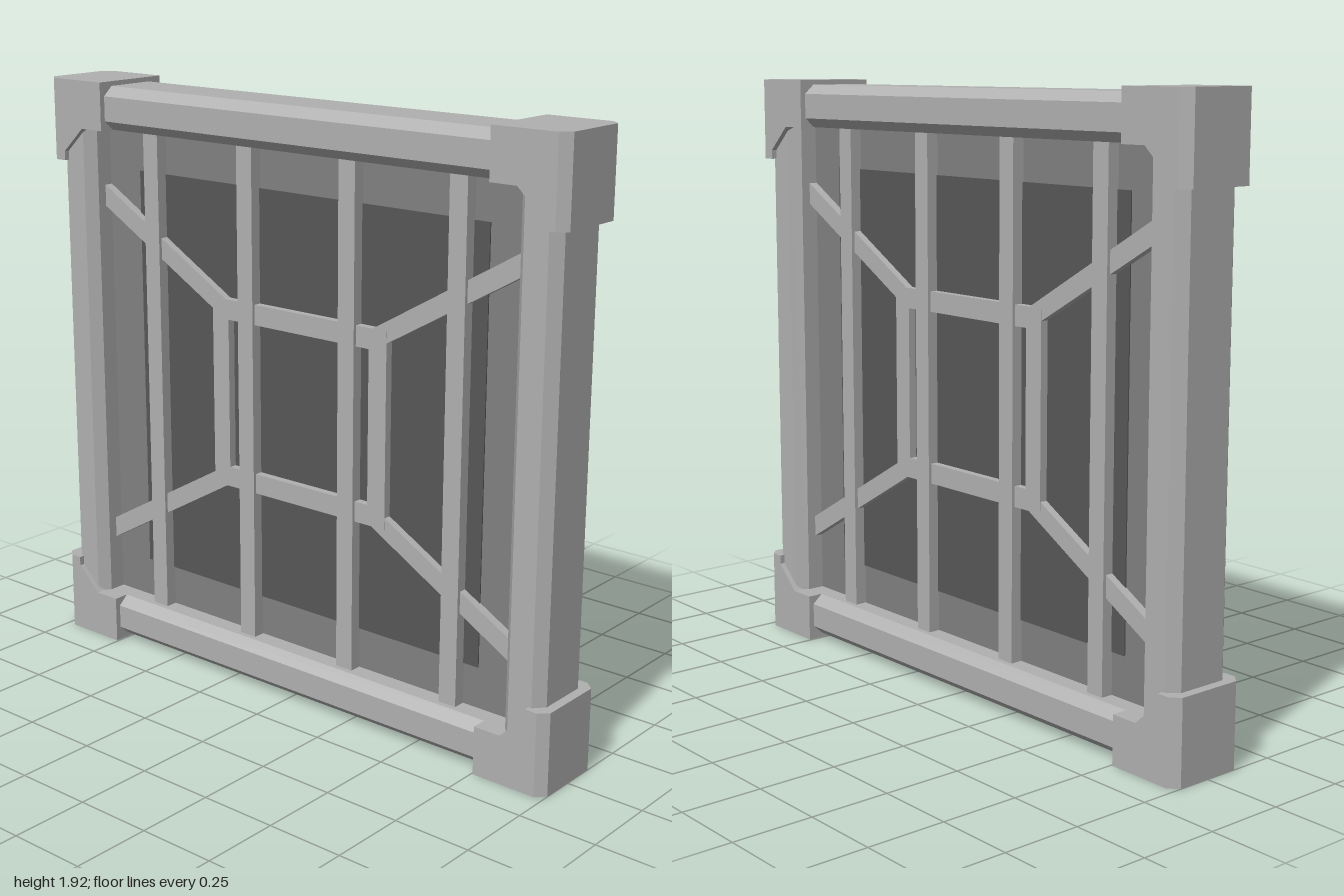
import * as THREE from 'three';

const MID = 0.96; // mid height

export function createModel() {
  const model = new THREE.Group();
  model.name = 'barredWindow';
  const frameMat = new THREE.MeshStandardMaterial({ name: 'frame grey', color: 0xb0b0b0 });
  const panelMat = new THREE.MeshStandardMaterial({ name: 'panel grey', color: 0x808080 });
  const darkMat = new THREE.MeshStandardMaterial({ name: 'dark grey', color: 0x575757 });

  const add = (name, geo, mat, parent = model) => {
    const mesh = new THREE.Mesh(geo, mat);
    mesh.name = name;
    parent.add(mesh);
    return mesh;
  };
  const shapeOf = pts => new THREE.Shape(pts.map(p => new THREE.Vector2(p[0], p[1])));
  const extrude = (shape, depth) => new THREE.ExtrudeGeometry(shape, { depth, bevelEnabled: false });
  const rect = (x, y) => [[-x, -y], [x, -y], [x, y], [-x, y]];

  // Bevelled bar section: 0.14 wide, 0.23 deep
  const barGeo = length => extrude(shapeOf([
    [-0.07, -0.083], [-0.04, -0.117], [0.04, -0.117], [0.07, -0.083],
    [0.07, 0.083], [0.04, 0.117], [-0.04, 0.117], [-0.07, 0.083],
  ]), length).translate(0, 0, -length / 2);

  // Side posts and horizontal rails
  for (const s of [-1, 1]) {
    add('sidePost', barGeo(1.7).rotateX(Math.PI / 2), frameMat).position.set(s * 0.9, MID, 0);
    add('rail', barGeo(1.7).rotateX(Math.PI / 2).rotateZ(Math.PI / 2), frameMat)
      .position.set(0, MID + s * 0.875, 0);
  }

  // Corner blocks: chamfered outer strip plus notched inner gusset
  for (const sx of [-1, 1]) for (const sy of [-1, 1]) {
    const corner = new THREE.Group();
    corner.name = 'cornerBlock';
    const strip = shapeOf([[0.93, -0.135], [0.97, -0.135], [1, -0.108], [1, 0.108], [0.97, 0.135], [0.93, 0.135]]
      .map(([x, z]) => [sx * x, z]));
    const stripMesh = add('cornerOuter', extrude(strip, 0.265).rotateX(-Math.PI / 2), frameMat, corner);
    stripMesh.position.y = sy < 0 ? 0 : 1.92 - 0.265;
    const gusset = shapeOf([[0.755, 0.96], [0.93, 0.96], [0.93, 0.725], [0.845, 0.805], [0.755, 0.805]]
      .map(([x, y]) => [sx * x, MID + sy * y]));
    add('cornerGusset', extrude(gusset, 0.27).translate(0, 0, -0.135), frameMat, corner);
    model.add(corner);
  }

  // Centre panel
  add('panel', new THREE.BoxGeometry(1.72, 1.66, 0.05), panelMat).position.y = MID;

  // Each face carries a dark inset, a lattice and four upright bars
  for (const turn of [0, Math.PI]) {
    const face = new THREE.Group();
    face.name = turn ? 'backFace' : 'frontFace';
    face.rotation.y = turn;
    face.position.y = MID;
    model.add(face);

    add('darkInset', new THREE.BoxGeometry(1.38, 1.345, 0.004), darkMat, face).position.z = 0.027;

    const ring = shapeOf(rect(0.35, 0.31));
    ring.holes.push(new THREE.Path(rect(0.283, 0.245).map(p => new THREE.Vector2(...p))));
    add('latticeRing', extrude(ring, 0.035), frameMat, face).position.z = 0.02;

    for (const sx of [-1, 1]) for (const sy of [-1, 1]) {
      const arm = shapeOf([[0.288, 0.305], [0.345, 0.27], [0.828, 0.545], [0.828, 0.615]]
        .map(([x, y]) => [sx * x, sy * y]));
      add('latticeArm', extrude(arm, 0.034), frameMat, face).position.z = 0.02;
    }

    for (const x of [-0.605, -0.203, 0.203, 0.605])
      add('uprightBar', new THREE.BoxGeometry(0.062, 1.64, 0.045), frameMat, face).position.set(x, 0, 0.0425);
  }
  return model;
}
